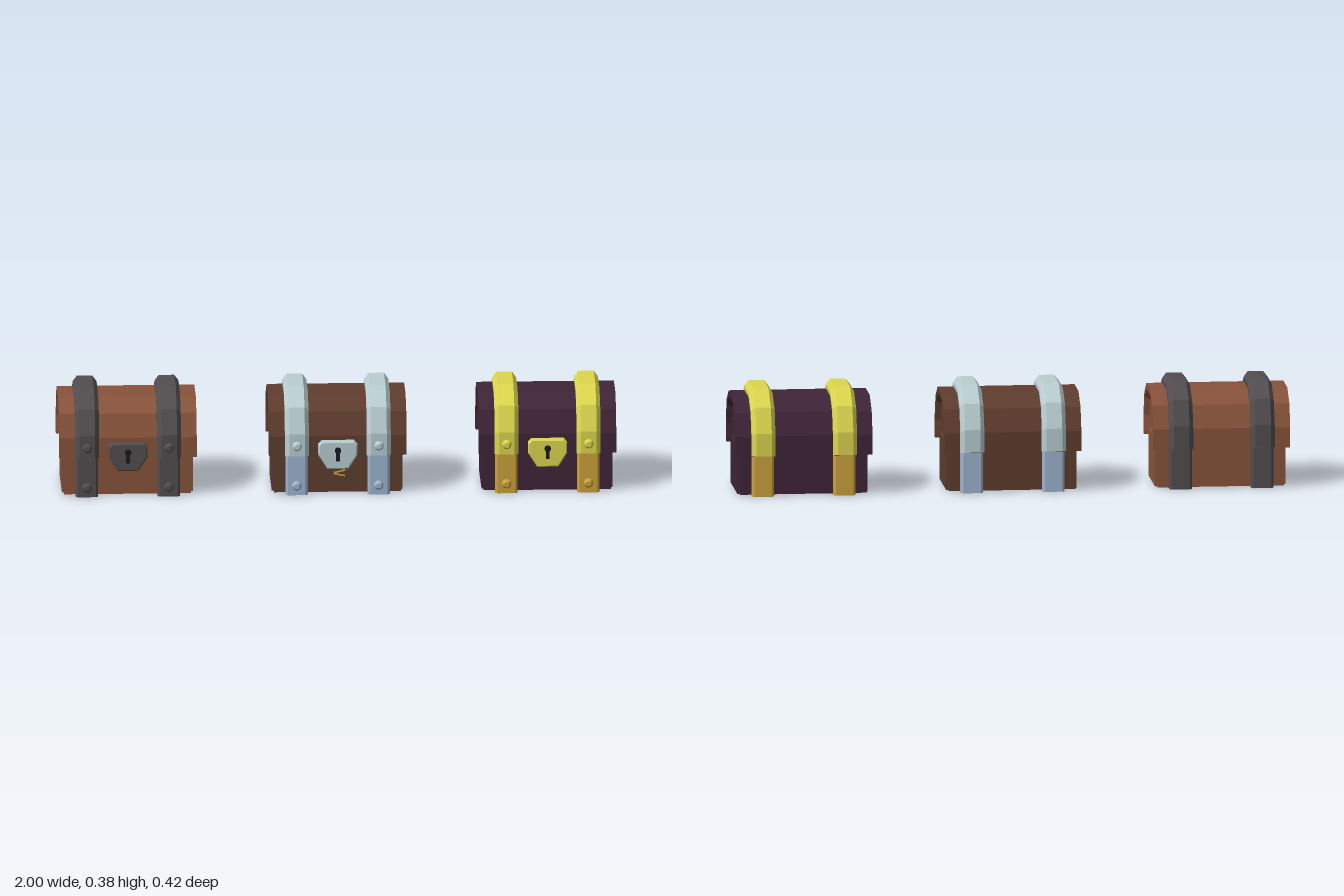
import * as THREE from 'three';

const mat = (name, color) => {
  const m = new THREE.MeshStandardMaterial({ color });
  m.name = name;
  return m;
};

const flat = (geo) => {
  const g = geo.index ? geo.toNonIndexed() : geo;
  g.computeVertexNormals();
  return g;
};

const MID_Z = -0.006; // front-to-back centre of each chest

// Half outlines as [half depth, height], from the rim up to the crown
const LID = [[0.174, 0.147], [0.174, 0.22], [0.143, 0.302], [0.072, 0.347]];
const LID_RIM = [[0.155, 0.147], [0.155, 0.217], [0.128, 0.287], [0.066, 0.325]];
const LID_END = [[0.146, 0.147], [0.146, 0.214], [0.12, 0.278], [0.063, 0.313]];
const STRAP = [[0.204, 0.153], [0.204, 0.235], [0.169, 0.325], [0.084, 0.381]];
const STRAP_EDGE = LID.map((p, i) => p.map((v, k) => v + (STRAP[i][k] - v) * 0.45));

// Joins mirrored arch outlines along x; rings are [x, outline]
function loft(rings, { caps = false, underside = () => true } = {}) {
  const pts = rings.map(([x, half]) => [
    ...half.map(([d, y]) => [x, y, MID_Z + d]),
    ...half.slice().reverse().map(([d, y]) => [x, y, MID_Z - d]),
  ]);
  const n = pts[0].length;
  const out = [];
  for (let i = 0; i < pts.length - 1; i++) {
    for (let j = 0; j < n; j++) {
      if (j === n - 1 && !underside(i)) continue;
      const k = (j + 1) % n;
      const [a, b, c, d] = [pts[i][j], pts[i + 1][j], pts[i + 1][k], pts[i][k]];
      out.push(...a, ...b, ...c, ...a, ...c, ...d);
    }
  }
  if (caps) {
    const first = pts[0], last = pts[pts.length - 1];
    for (let j = 1; j < n - 1; j++) {
      out.push(...first[0], ...first[j], ...first[j + 1]);
      out.push(...last[0], ...last[j + 1], ...last[j]);
    }
  }
  const g = new THREE.BufferGeometry();
  g.setAttribute('position', new THREE.Float32BufferAttribute(out, 3));
  g.computeVertexNormals();
  return g;
}

// Mirrored polygon from its right half, top to bottom
function mirrored(half, Type = THREE.Shape, s = 1, cy = 0) {
  const pts = [...half, ...half.slice().reverse().map(([x, y]) => [-x, y])];
  return new Type(pts.map(([x, y]) => new THREE.Vector2(x * s, cy + (y - cy) * s)));
}

function box(w, h, d, x, y, z) {
  return new THREE.BoxGeometry(w, h, d).translate(x, y, z);
}

function extrude(shape, z0, z1, bevel = 0) {
  return flat(new THREE.ExtrudeGeometry(shape, {
    depth: z1 - z0 - bevel, bevelEnabled: bevel > 0, bevelThickness: bevel,
    bevelSize: bevel, bevelOffset: -bevel, bevelSegments: 1, curveSegments: 8,
  }).translate(0, 0, z0));
}

function createChest(name, wood, metal, lowerMetal, dark) {
  const chest = new THREE.Group();
  chest.name = name;
  const add = (part, geo, material) => {
    const m = new THREE.Mesh(geo, material);
    m.name = part;
    chest.add(m);
  };

  // Wooden body with raised end panels
  add('body', box(0.456, 0.15, 0.292, 0, 0.079, MID_Z), wood);
  for (const s of [-1, 1]) {
    add('endPanel', box(0.02, 0.174, 0.233, s * 0.225, 0.09, MID_Z), wood);
  }

  // Faceted lid with recessed ends inside a bevelled rim
  add('lid', loft([
    [-0.228, LID_END], [-0.247, LID_RIM], [-0.247, LID], [-0.228, LID],
    [0.228, LID], [0.247, LID], [0.247, LID_RIM], [0.228, LID_END],
  ], { caps: true, underside: (i) => i === 3 }), wood);
  for (const s of [-1, 1]) {
    for (const f of [-1, 1]) {
      add('lidRimFoot', box(0.018, 0.012, 0.024, s * 0.2375, 0.1535, MID_Z + f * 0.161), wood);
    }
  }

  for (const s of [-1, 1]) {
    const x = s * 0.147;
    // Upper strap arching over the lid
    add('lidStrap', loft([
      [-0.043, LID], [-0.043, STRAP_EDGE], [-0.028, STRAP],
      [0.028, STRAP], [0.043, STRAP_EDGE], [0.043, LID],
    ]).translate(x, 0, 0), metal);

    // Lower strap wrapping the body and its underside
    const section = mirrored([[0.032, 0.174], [0.04, 0.166], [0.04, -0.166], [0.032, -0.174]]);
    const lower = new THREE.ExtrudeGeometry(section, { depth: 0.147, bevelEnabled: false });
    lower.rotateX(-Math.PI / 2).translate(x, 0, MID_Z);
    add('bodyStrap', flat(lower), lowerMetal);

    // Rivets on the front
    for (const [y, z, m] of [[0.19, 0.198, metal], [0.035, 0.168, lowerMetal]]) {
      const rivet = new THREE.CylinderGeometry(0.01, 0.019, 0.014, 8);
      rivet.rotateX(Math.PI / 2).translate(x, y, z + 0.006);
      add('rivet', flat(rivet), m);
    }
  }

  // Lock plate with a raised border
  const outline = [[0.058, 0.205], [0.07, 0.192], [0.07, 0.154], [0.038, 0.103]];
  const border = mirrored(outline);
  border.holes.push(mirrored(outline, THREE.Path, 0.76, 0.158));
  add('lockBorder', extrude(border, 0.13, 0.194, 0.005), metal);
  add('lockPlate', extrude(mirrored(outline, THREE.Shape, 0.85, 0.158), 0.13, 0.186), metal);

  // Keyhole
  const hole = new THREE.CylinderGeometry(0.012, 0.012, 0.004, 10);
  hole.rotateX(Math.PI / 2).translate(0, 0.17, 0.187);
  add('keyhole', flat(hole), dark);
  add('keyholeSlot', box(0.014, 0.036, 0.004, 0, 0.149, 0.187), dark);
  return chest;
}

export function createModel() {
  const model = new THREE.Group();
  model.name = 'treasureChests';

  const iron = mat('iron', 0x524d50);
  const silver = mat('silver', 0xb9cdd0);
  const steel = mat('blueSteel', 0x9db4d0);
  const yellow = mat('brightGold', 0xdcd64e);
  const gold = mat('deepGold', 0xcba23c);
  const dark = mat('keyholeDark', 0x1c181c);
  const lightWood = mat('lightWood', 0x88533b);
  const brownWood = mat('brownWood', 0x5f3d2e);
  const purpleWood = mat('purpleWood', 0x3f2438);

  const chests = [
    createChest('ironChest', lightWood, iron, iron, dark),
    createChest('silverChest', brownWood, silver, steel, dark),
    createChest('goldChest', purpleWood, yellow, gold, dark),
  ];
  chests.forEach((c, i) => {
    c.position.x = (i - 1) * 0.753;
    model.add(c);
  });

  // Small gold slivers below the middle lock
  [[0.004, 0.092, -0.1], [0.008, 0.08, 0.2], [0.006, 0.068, -0.2]].forEach(([x, y, r]) => {
    const sliver = new THREE.Mesh(new THREE.BoxGeometry(0.042, 0.005, 0.004), gold);
    sliver.name = 'goldSliver';
    sliver.position.set(x, y, 0.141);
    sliver.rotation.z = r;
    chests[1].add(sliver);
  });

  return model;
}
